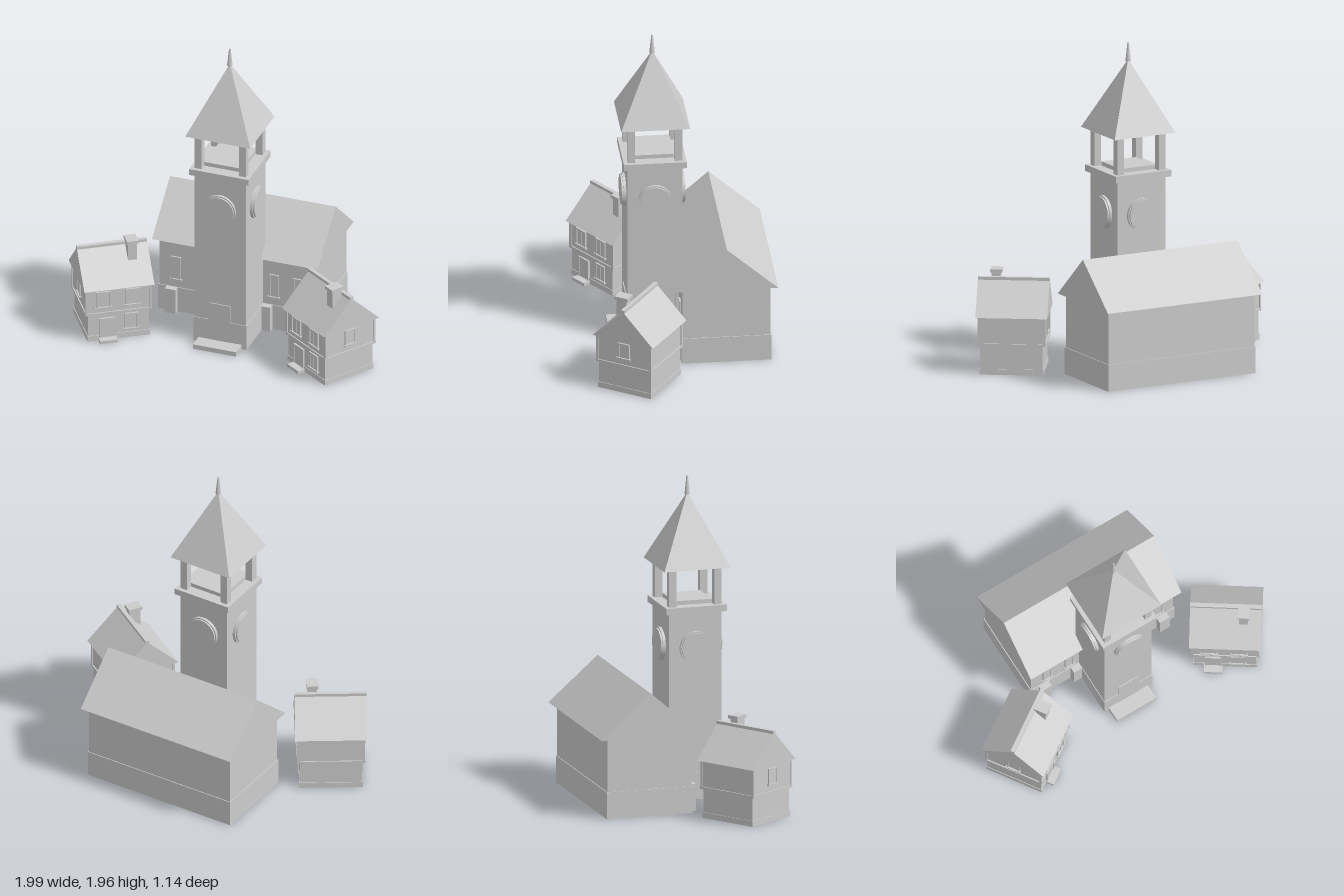
import * as THREE from 'three';

const stone = new THREE.MeshStandardMaterial({ color: 0xcccccc });
stone.name = 'pale grey';

function add(parent, name, geometry, x, y, z) {
  const mesh = new THREE.Mesh(geometry, stone);
  mesh.name = name;
  mesh.position.set(x, y, z);
  parent.add(mesh);
  return mesh;
}

// Box given by its size, centre x and z, and the height of its underside
function box(parent, name, w, h, d, x, y, z) {
  return add(parent, name, new THREE.BoxGeometry(w, h, d), x, y + h / 2, z);
}

// Solid gable roof with its ridge along x
function gable(parent, name, length, depth, h, x, y, z) {
  const s = new THREE.Shape();
  s.moveTo(-depth / 2, 0);
  s.lineTo(depth / 2, 0);
  s.lineTo(0, h);
  const g = new THREE.ExtrudeGeometry(s, { depth: length, bevelEnabled: false });
  g.translate(0, 0, -length / 2);
  g.rotateY(Math.PI / 2);
  return add(parent, name, g, x, y, z);
}

// Framed window facing +z, its origin at the bottom centre of the opening
function window_(parent, name, w, h, x, y, z, turn = 0, mullions = true) {
  const g = new THREE.Group();
  g.name = name;
  g.position.set(x, y, z);
  g.rotation.y = turn;
  parent.add(g);
  box(g, 'pane', w, h, 0.006, 0, 0, 0);
  for (const s of [-1, 1]) box(g, 'jamb', 0.01, h, 0.016, s * (w / 2 - 0.005), 0, 0);
  box(g, 'lintel', w, 0.01, 0.016, 0, h - 0.01, 0);
  box(g, 'sill', w + 0.016, 0.01, 0.026, 0, -0.005, 0);
  if (mullions) box(g, 'mullion', 0.006, h, 0.012, 0, 0, 0);
}

function buildHall() {
  const hall = new THREE.Group();
  hall.name = 'hall';
  const zc = -0.267;
  box(hall, 'walls', 1.0, 0.49, 0.53, 0, 0, zc);
  box(hall, 'plinth', 1.01, 0.165, 0.54, 0, 0, zc);
  gable(hall, 'roof', 1.06, 0.62, 0.27, 0, 0.49, zc);
  for (const s of [-1, 1]) {
    for (const x of [0.235, 0.39]) window_(hall, 'hallWindow', 0.06, 0.155, s * x, 0.22, 0, 0, false);
    // Low piers along the front
    box(hall, 'outerPier', 0.07, 0.165, 0.05, s * 0.415, 0, 0.015);
    box(hall, 'innerPier', 0.06, 0.165, 0.05, s * 0.195, 0, 0.015);
  }
  return hall;
}

function buildTower() {
  const tower = new THREE.Group();
  tower.name = 'tower';
  tower.position.z = 0.128;
  box(tower, 'shaft', 0.33, 1.15, 0.33, 0, 0, 0);
  box(tower, 'towerPlinth', 0.338, 0.165, 0.338, 0, 0, 0);
  box(tower, 'door', 0.136, 0.28, 0.02, 0, 0, 0.161);
  box(tower, 'doorStep', 0.276, 0.03, 0.12, 0, 0, 0.205);
  box(tower, 'balcony', 0.38, 0.04, 0.38, 0, 1.15, 0);
  box(tower, 'belfryFloor', 0.236, 0.025, 0.236, 0, 1.19, 0);
  for (const x of [-1, 1]) for (const z of [-1, 1]) {
    box(tower, 'belfryPost', 0.046, 0.24, 0.046, x * 0.142, 1.185, z * 0.142);
  }

  // Pyramid spire and finial
  let spire = new THREE.ConeGeometry(0.208 * Math.SQRT2, 0.435, 4);
  spire.rotateY(Math.PI / 4);
  spire = spire.toNonIndexed();
  spire.computeVertexNormals();
  add(tower, 'spire', spire, 0, 1.42 + 0.2175, 0);
  add(tower, 'finial', new THREE.CylinderGeometry(0.005, 0.017, 0.115, 10), 0, 1.9, 0);

  // A clock on each face
  for (let i = 0; i < 4; i++) {
    const clock = new THREE.Group();
    clock.name = 'clock';
    clock.rotation.y = i * Math.PI / 2;
    tower.add(clock);
    for (const [name, r, t] of [['clockRim', 0.1, 0.018], ['clockFace', 0.092, 0.028]]) {
      const g = new THREE.CylinderGeometry(r, r, t, 40);
      g.rotateX(Math.PI / 2);
      add(clock, name, g, 0, 0.935, 0.164 + t / 2);
    }
  }
  return tower;
}

function buildHouse(side) {
  const house = new THREE.Group();
  house.name = side > 0 ? 'leftHouse' : 'rightHouse';
  house.position.set(side * 0.7, 0, 0.278);
  house.rotation.y = -side * 0.59;

  // Walls of both storeys
  box(house, 'lowerStorey', 0.376, 0.19, 0.352, 0, 0, 0);
  box(house, 'footing', 0.384, 0.035, 0.36, 0, 0, 0);
  box(house, 'upperStorey', 0.396, 0.175, 0.36, 0, 0.182, 0);

  // Timber frame
  box(house, 'floorBeam', 0.41, 0.014, 0.374, 0, 0.178, 0);
  box(house, 'topBeam', 0.408, 0.014, 0.372, 0, 0.341, 0);
  for (const x of [-1, 1]) for (const z of [-1, 1]) {
    box(house, 'cornerPost', 0.016, 0.17, 0.016, x * 0.196, 0.185, z * 0.178);
  }

  // Roof and chimney
  gable(house, 'houseRoof', 0.432, 0.408, 0.2, 0, 0.353, 0);
  box(house, 'ridgeCap', 0.432, 0.018, 0.026, 0, 0.545, 0);
  box(house, 'chimney', 0.054, 0.15, 0.066, 0.108, 0.44, 0.05);
  box(house, 'chimneyCap', 0.072, 0.02, 0.088, 0.108, 0.585, 0.05);

  // Door, step and windows
  box(house, 'houseDoor', 0.08, 0.128, 0.01, -0.072, 0.018, 0.179);
  for (const s of [-1, 1]) box(house, 'doorJamb', 0.01, 0.13, 0.02, -0.072 + s * 0.043, 0.018, 0.178);
  box(house, 'doorLintel', 0.096, 0.01, 0.02, -0.072, 0.14, 0.178);
  box(house, 'houseStep', 0.11, 0.02, 0.06, -0.07, 0, 0.2);
  window_(house, 'lowerWindow', 0.085, 0.105, 0.078, 0.06, 0.178);
  for (const x of [-0.095, 0.085]) window_(house, 'upperWindow', 0.09, 0.108, x, 0.226, 0.182);
  for (const s of [-1, 1]) window_(house, 'sideWindow', 0.08, 0.1, s * 0.2, 0.234, 0, s * Math.PI / 2, false);
  return house;
}

export function createModel() {
  const model = new THREE.Group();
  model.name = 'townHall';
  model.add(buildHall(), buildTower(), buildHouse(1), buildHouse(-1));
  return model;
}
